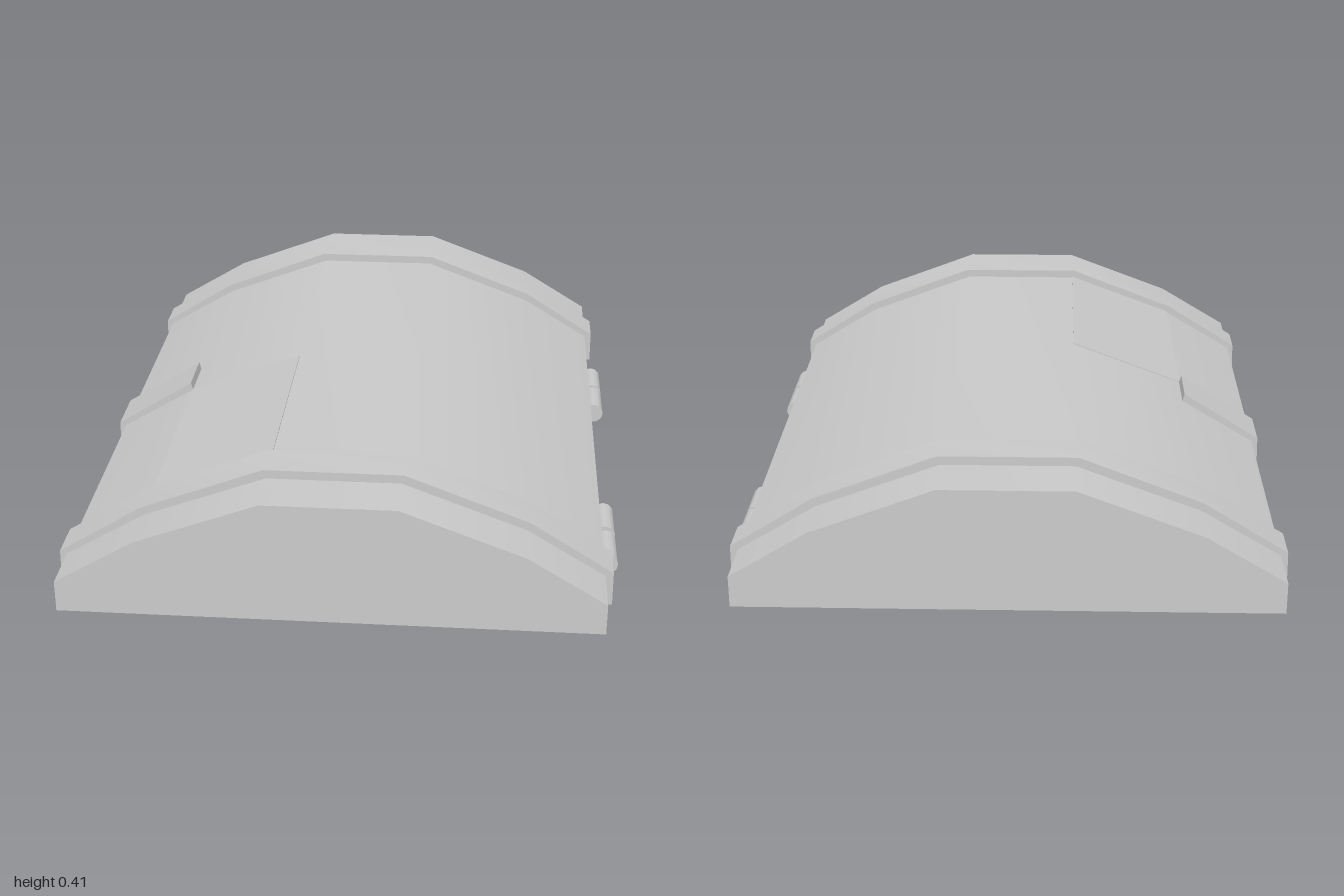
import * as THREE from 'three';
import { toCreasedNormals } from 'three/addons/utils/BufferGeometryUtils.js';

const material = new THREE.MeshStandardMaterial({ color: 0xcccccc });

// Cross-sections in x, y, listed from the latch side to the hinge side
const INNER = [[-0.735, 0.05], [-0.735, 0.137], [-0.52, 0.266], [-0.19, 0.39],
  [0.165, 0.39], [0.495, 0.266], [0.705, 0.137], [0.705, 0.05]];
const OUTER = [[-0.755, 0.05], [-0.753, 0.146], [-0.526, 0.288], [-0.197, 0.414],
  [0.171, 0.414], [0.503, 0.288], [0.726, 0.146], [0.727, 0.05]];

function addMesh(group, name, geometry) {
  const mesh = new THREE.Mesh(geometry, material);
  mesh.name = name;
  group.add(mesh);
  return mesh;
}

// Extrude an x, y outline from z0 to z1, smooth over the shallow facets
function addSlab(group, name, points, z0, z1) {
  const shape = new THREE.Shape(points.map(([x, y]) => new THREE.Vector2(x, y)));
  const geometry = new THREE.ExtrudeGeometry(shape, { depth: z1 - z0, bevelEnabled: false });
  geometry.translate(0, 0, z0);
  return addMesh(group, name, toCreasedNormals(geometry, Math.PI / 6));
}

export function createModel() {
  const lid = new THREE.Group();
  lid.name = 'chestLid';

  // Domed lid with a flat, closed underside
  addSlab(lid, 'lidBody', INNER, -1, 1);

  // Raised straps across the dome
  addSlab(lid, 'frontBand', OUTER, 0.74, 0.855);
  addSlab(lid, 'backBand', OUTER, -0.845, -0.73);

  // Thin panel lying on the upper slope between latch and front band
  const lift = 0.003;
  addSlab(lid, 'slopePanel', [
    INNER[2], [-0.52, 0.266 + lift], [-0.19, 0.39 + lift], INNER[3],
  ], 0.075, 0.74);

  // Latch: short strap on the lower slope and a tongue hanging below it
  addSlab(lid, 'latchStrap', [...OUTER.slice(0, 3), INNER[2], INNER[1], INNER[0]], -0.08, 0.075);
  const tongue = addMesh(lid, 'latchTongue', new THREE.BoxGeometry(0.021, 0.05, 0.072));
  tongue.position.set(-0.7445, 0.025, 0.002);

  // Two hinges, each with a pair of knuckles
  for (const z of [0.572, 0.414, -0.381, -0.533]) {
    const barrel = new THREE.CylinderGeometry(0.03, 0.03, 0.137, 12);
    barrel.rotateX(Math.PI / 2);
    const knuckle = addMesh(lid, 'hingeKnuckle', barrel);
    knuckle.position.set(0.725, 0.045, z);
  }

  return lid;
}
